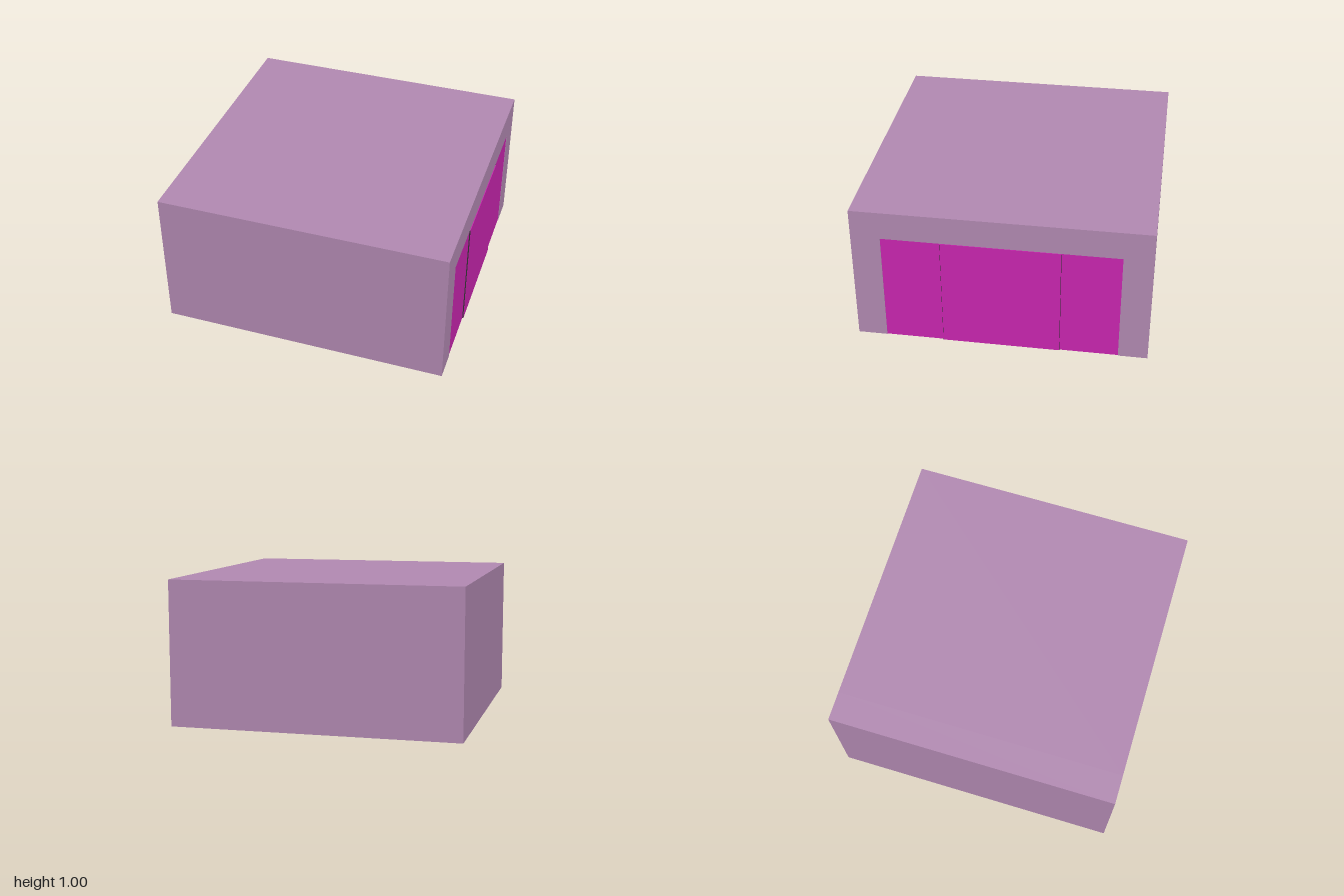
import * as THREE from 'three';

const paint = (color) => new THREE.MeshStandardMaterial({ color });

export function createModel() {
  const model = new THREE.Group();
  const wallMat = paint(0xb48bb4);
  const doorMat = paint(0xcc26b2);
  const darkMat = paint(0x333333);

  function add(name, geometry, material) {
    const mesh = new THREE.Mesh(geometry, material);
    mesh.name = name;
    model.add(mesh);
  }

  // box given by its lower and upper corners
  function box(name, a, b, material) {
    const g = new THREE.BoxGeometry(b[0] - a[0], b[1] - a[1], b[2] - a[2]);
    g.translate((a[0] + b[0]) / 2, (a[1] + b[1]) / 2, (a[2] + b[2]) / 2);
    add(name, g, material);
  }

  // outline of [z, y] points swept along x
  function sweepX(name, points, x0, x1, material) {
    const shape = new THREE.Shape(points.map(([z, y]) => new THREE.Vector2(-z, y)));
    const g = new THREE.ExtrudeGeometry(shape, { depth: x1 - x0, bevelEnabled: false });
    g.rotateY(Math.PI / 2).translate(x0, 0, 0);
    add(name, g, material);
  }

  // side walls and roof as one arch, closed at the far end
  sweepX('wallsAndRoof', [
    [-1, 0], [-1, 1], [1, 1], [1, 0], [0.8, 0], [0.8, 0.8], [-0.8, 0.8], [-0.8, 0],
  ], -0.8, 0.995, wallMat);
  box('endWall', [-1, 0, -1], [-0.8, 1, 1], wallMat);

  // tapering buttresses along both long inner walls
  const foot = 0.004;
  for (const side of [-1, 1]) {
    for (let i = 0; i < 4; i++) {
      const x = 0.56 - i * 0.36;
      sweepX('buttress', [
        [side * 0.8, foot], [side * 0.72, foot], [side * 0.8, 0.8],
      ], x, x + 0.16, darkMat);
      sweepX('buttressFoot', [
        [side * 0.8, 0], [side * 0.72, 0], [side * 0.72, foot], [side * 0.8, foot],
      ], x, x + 0.16, wallMat);
    }
  }

  // four door panels, the middle pair standing slightly proud
  for (let i = 0; i < 4; i++) {
    const z = -0.8 + i * 0.4;
    const middle = i === 1 || i === 2;
    box('doorPanel', [0.82, 0.002, z], [middle ? 1 : 0.992, 0.8, z + 0.4], doorMat);
  }

  // dark edges at the sides of the middle pair
  for (const side of [-1, 1]) {
    const z = side * 0.401;
    box('doorEdge', [0.9, 0.002, z - 0.001], [0.999, 0.8, z + 0.001], darkMat);
  }

  // row of rollers under the doors
  for (let i = 0; i < 16; i++) {
    const z = -0.75 + i * 0.1;
    box('doorRoller', [0.865, 0, z - 0.025], [0.915, 0.03, z + 0.025], darkMat);
  }

  return model;
}
